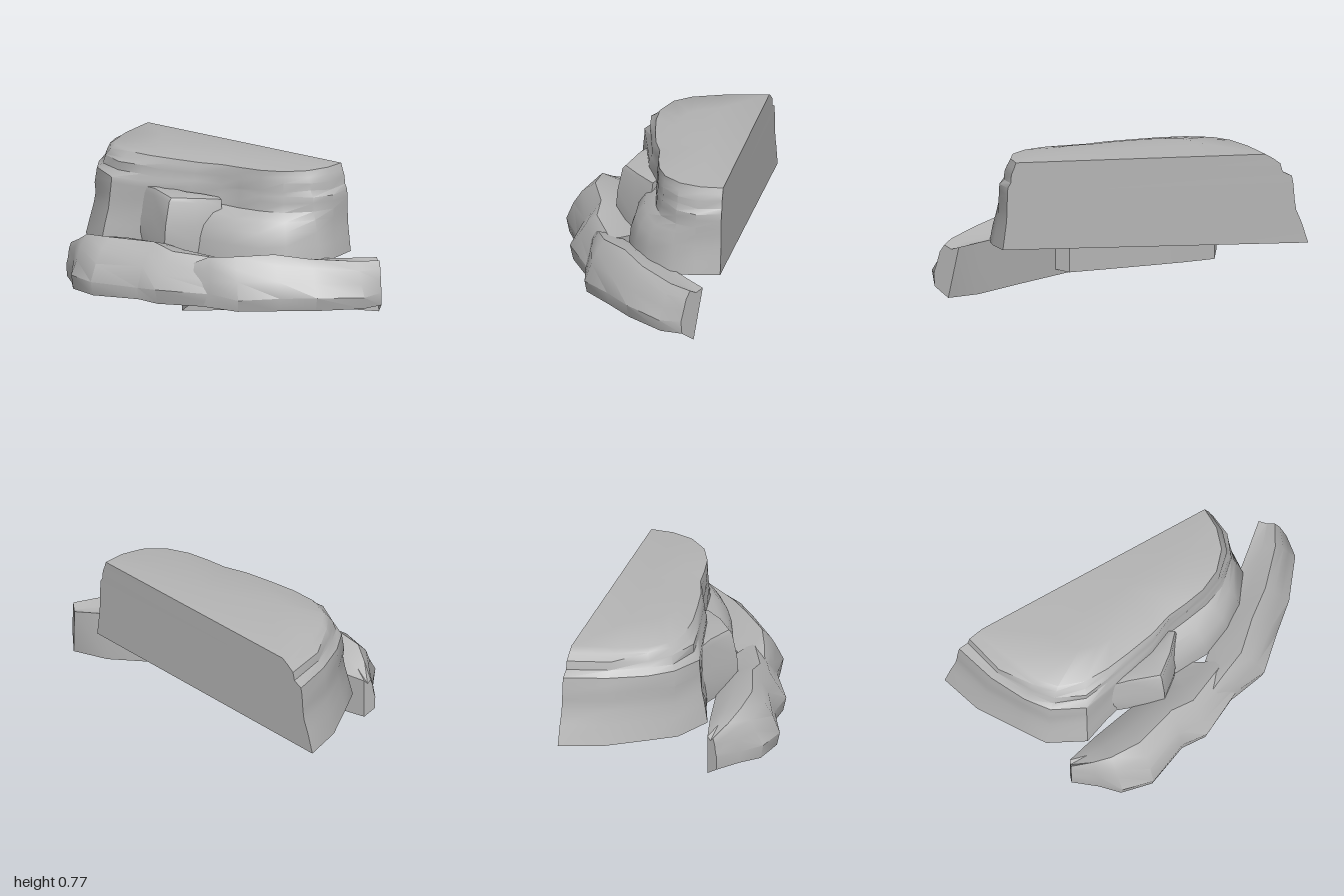
import * as THREE from 'three';
import { toCreasedNormals } from 'three/addons/utils/BufferGeometryUtils.js';

// Small seeded jitter in the range -1..1
function makeJitter(seed) {
  return () => {
    seed = (seed * 16807) % 2147483647;
    return (seed / 2147483647) * 2 - 1;
  };
}

// Skin a stack of rings; open leaves out the strip joining each ring's ends
function loft(rings, { open = false, capFirst, capLast, crease }) {
  const n = rings[0].length, points = rings.flat(), index = [];
  for (let j = 0; j < rings.length - 1; j++) {
    for (let i = 0; i < (open ? n - 1 : n); i++) {
      const k = (i + 1) % n;
      const a = j * n + k, b = j * n + i, c = b + n, d = a + n;
      index.push(a, b, c, a, c, d);
    }
  }
  const cap = (j, centre, flip) => {
    const c = points.push(centre) - 1;
    for (let i = 0; i < n; i++) {
      const a = j * n + i, b = j * n + ((i + 1) % n);
      index.push(c, flip ? a : b, flip ? b : a);
    }
  };
  if (capFirst) cap(0, capFirst, true);
  if (capLast) cap(rings.length - 1, capLast, false);
  const g = new THREE.BufferGeometry();
  g.setAttribute('position', new THREE.Float32BufferAttribute(points.flat(), 3));
  g.setIndex(index);
  return toCreasedNormals(g, crease);
}

// Tall rock: flat on +x, rugged stepped face elsewhere, open underneath
function cliffGeometry() {
  const jitter = makeJitter(71);
  // foot x, foot z, brow x, brow z, share of low shelf; front corner round to back corner
  const columns = [
    [0.52, 0.65, 0.52, 0.58, 0], [0.38, 0.68, 0.4, 0.59, 0], [0.26, 0.68, 0.28, 0.56, 0.4],
    [0.1, 0.58, 0.18, 0.48, 0.8], [0.01, 0.46, 0.12, 0.37, 1], [-0.06, 0.3, 0.09, 0.25, 1],
    [-0.08, 0.12, 0.07, 0.14, 1], [-0.08, -0.03, 0.02, 0.02, 0.4], [-0.1, -0.2, -0.02, -0.14, 0],
    [-0.15, -0.34, -0.05, -0.28, 0], [-0.21, -0.48, -0.06, -0.42, 0], [-0.12, -0.68, -0.02, -0.56, 0],
    [0.02, -0.78, 0.06, -0.64, 0], [0.22, -0.92, 0.22, -0.71, 0], [0.44, -1.0, 0.45, -0.77, 0],
  ];
  // height, then how far the wall has stepped back: main wall, low shelf
  const levels = [[0.25, 0, 0], [0.36, 0.15, 0.07], [0.43, 0.28, 0.2], [0.49, 0.32, 0.5],
    [0.53, 0.33, 0.9], [0.575, 0.35, 0.93], [0.615, 0.38, 0.94], [0.64, 0.6, 0.95],
    [0.685, 0.65, 0.96], [0.715, 0.83, 0.97], [0.75, 1, 1]];
  const last = columns.length - 1;
  const rings = levels.map(([y, wall, low], j) => columns.map(([fx, fz, bx, bz, share], i) => {
    const loose = i > 0 && i < last && j > 0 && j < levels.length - 1 ? 1 : 0;
    const s = wall + (low - wall) * share + loose * jitter() * 0.03;
    const lift = j === 0 ? 0.03 * (1 - i / last) : loose * jitter() * 0.008;
    const sag = j === levels.length - 1 ? -0.012 * (i / last) : 0;
    return [fx + (bx - fx) * s, y + lift + sag, fz + (bz - fz) * s];
  }));
  // gently crowned top, level with the brow along the flat side
  rings.push(rings[levels.length - 1].map(([x, y, z], i) => (
    i === 0 || i === last ? [x, y, z] : [x + (0.3 - x) * 0.4, 0.764, z * 0.65])));
  return loft(rings, { capLast: [0.32, 0.766, 0], crease: 0.6 });
}

// Smaller rock: flat inner wall, rounded outer face, open underneath
function ledgeGeometry({ stations, section, seed, foot, innerTop, taper = 0 }) {
  const jitter = makeJitter(seed);
  const last = stations.length - 1;
  const blend = ([a, b], j) => a + (b - a) * j / last;
  const rings = stations.map(([ox, oz, ix, iz, h], j) => {
    const wall = [[j === 0 ? taper : 0, blend(foot, j)], [0, blend(innerTop, j)]];
    return [...wall, ...section(h)].map(([u, y], i) => {
      const loose = i > 2 && i < 7 && j > 0 && j < last ? 1 : 0;
      const w = u + loose * jitter() * 0.03;
      return [ix + (ox - ix) * w, y + loose * jitter() * 0.01, iz + (oz - iz) * w];
    });
  });
  const middle = (ring) => [0, 1, 2].map((a) => ring.reduce((s, p) => s + p[a], 0) / ring.length);
  return loft(rings, {
    open: true, crease: 0.65, capFirst: middle(rings[0]), capLast: middle(rings[last]),
  });
}

export function createModel() {
  const stone = new THREE.MeshStandardMaterial({ color: 0xb4b4b4, side: THREE.DoubleSide });
  stone.name = 'grey stone';
  const group = new THREE.Group();
  group.name = 'rockOutcrop';

  // outer profiles as inward share of the width, height
  const ledgeSection = (h) => [[0.3, h - 0.02], [0.58, h], [0.76, h * 0.87], [0.88, h * 0.66],
    [1, 0.14], [0.96, 0.07]];
  const pillarSection = (h) => [[0.35, h], [0.75, h - 0.005], [0.83, h - 0.04], [0.93, 0.43],
    [1, 0.34], [0.97, 0.25]];

  // stations: outer x, outer z, inner x, inner z, crest height, front to back
  const frontLedge = {
    section: ledgeSection, seed: 23, foot: [0.015, 0], innerTop: [0.295, 0.27], taper: 0.42,
    stations: [
      [0.39, 1.0, 0.48, 0.88, 0.3], [0.27, 0.99, 0.36, 0.755, 0.31], [0.06, 0.84, 0.2, 0.585, 0.33],
      [-0.08, 0.7, 0.08, 0.46, 0.345], [-0.24, 0.55, -0.04, 0.33, 0.335], [-0.28, 0.38, -0.13, 0.235, 0.325],
      [-0.3, 0.26, -0.23, 0.13, 0.27],
    ],
  };
  const backLedge = {
    section: ledgeSection, seed: 57, foot: [0.025, 0.03], innerTop: [0.275, 0.25],
    stations: [
      [-0.21, 0.48, -0.06, 0.2, 0.31], [-0.42, 0.12, -0.08, 0.1, 0.34], [-0.42, -0.02, -0.105, -0.02, 0.355],
      [-0.53, -0.25, -0.16, -0.25, 0.362], [-0.5, -0.42, -0.205, -0.43, 0.34], [-0.41, -0.51, -0.235, -0.53, 0.3],
      [-0.32, -0.63, -0.26, -0.61, 0.25],
    ],
  };
  // upright block set into the cliff wall
  const pillar = {
    section: pillarSection, seed: 11, foot: [0.26, 0.26], innerTop: [0.56, 0.57],
    stations: [
      [0.03, 0.18, 0.06, 0.11, 0.57], [-0.1, 0.09, 0.05, 0.06, 0.585], [-0.21, -0.02, 0.04, -0.02, 0.59],
      [-0.15, -0.18, 0.02, -0.2, 0.59], [-0.1, -0.34, 0, -0.36, 0.58],
    ],
  };

  const parts = {
    cliffRock: cliffGeometry(),
    frontLedge: ledgeGeometry(frontLedge),
    backLedge: ledgeGeometry(backLedge),
    pillarRock: ledgeGeometry(pillar),
  };
  for (const [name, geometry] of Object.entries(parts)) {
    const mesh = new THREE.Mesh(geometry, stone);
    mesh.name = name;
    group.add(mesh);
  }
  return group;
}
